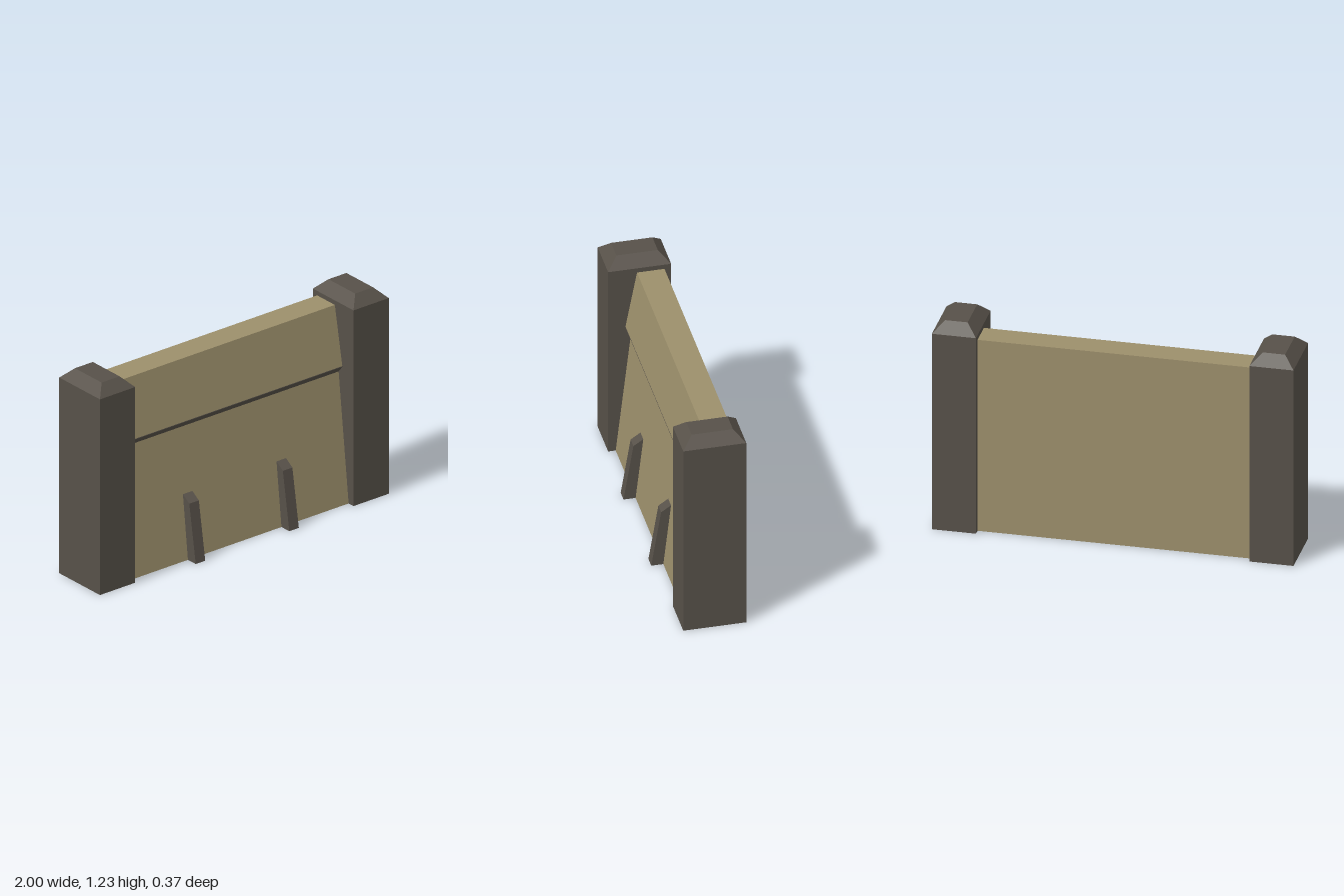
import * as THREE from 'three';

const HALF = 0.757; // half length of the wall between the posts

export function createModel() {
  const group = new THREE.Group();
  const sand = new THREE.MeshStandardMaterial({ name: 'sand', color: 0x9c8f6b });
  const darkStone = new THREE.MeshStandardMaterial({ name: 'dark stone', color: 0x575149 });
  // box face order: right, left, top, bottom, front, back
  const stoneOnSand = [darkStone, darkStone, darkStone, sand, darkStone, darkStone];

  const add = (name, geometry, material) => {
    const mesh = new THREE.Mesh(geometry, material);
    mesh.name = name;
    group.add(mesh);
    return mesh;
  };

  // Box whose vertices, given as -1..1 signs, are placed by a rule, with flat faces
  const shapedBox = (levels, rule) => {
    const box = new THREE.BoxGeometry(2, 2, 2, 1, levels, 1);
    const p = box.attributes.position;
    for (let i = 0; i < p.count; i++) p.setXYZ(i, ...rule(p.getX(i), p.getY(i), p.getZ(i)));
    const flat = box.toNonIndexed();
    flat.computeVertexNormals();
    return flat;
  };

  // Side profile of [z, y] points extruded along x
  const profileAlongX = (points) => {
    const shape = new THREE.Shape(points.map(([z, y]) => new THREE.Vector2(-z, y)));
    const g = new THREE.ExtrudeGeometry(shape, { depth: HALF * 2, bevelEnabled: false });
    return g.rotateY(Math.PI / 2).translate(-HALF, 0, 0);
  };

  // Leaning wall with an overhanging upper panel
  add('wall', profileAlongX([
    [-0.15, 0], [0.12, 0], [0.034, 0.76], [0.066, 0.8], [0.002, 1.143], [-0.15, 1.143],
  ]), sand);

  // Dark underside of the overhang
  add('overhangLip', profileAlongX([
    [0.034, 0.757], [0.067, 0.798], [0.066, 0.801], [0.032, 0.761],
  ]), darkStone);

  for (const side of [-1, 1]) {
    const label = side > 0 ? 'left' : 'right';

    // End post with a chamfered top
    add(label + 'Post', shapedBox(2, (x, y, z) => {
      const inset = y > 0.5 ? 0.06 : 0;
      const height = y < -0.5 ? 0 : y > 0.5 ? 1.23 : 1.17;
      return [side * 0.878 + x * (0.122 - inset), height, -0.0125 + z * (0.1745 - inset)];
    }), stoneOnSand);

    // Tapered brace against the front of the wall
    add(label + 'Brace', shapedBox(1, (x, y, z) => {
      const [pz, py] = y < 0
        ? [z > 0 ? 0.187 : 0.1, 0]
        : z > 0 ? [0.132, 0.34] : [0.066, 0.384];
      return [side * 0.324 + x * 0.033, py, pz];
    }), stoneOnSand);
  }
  return group;
}
